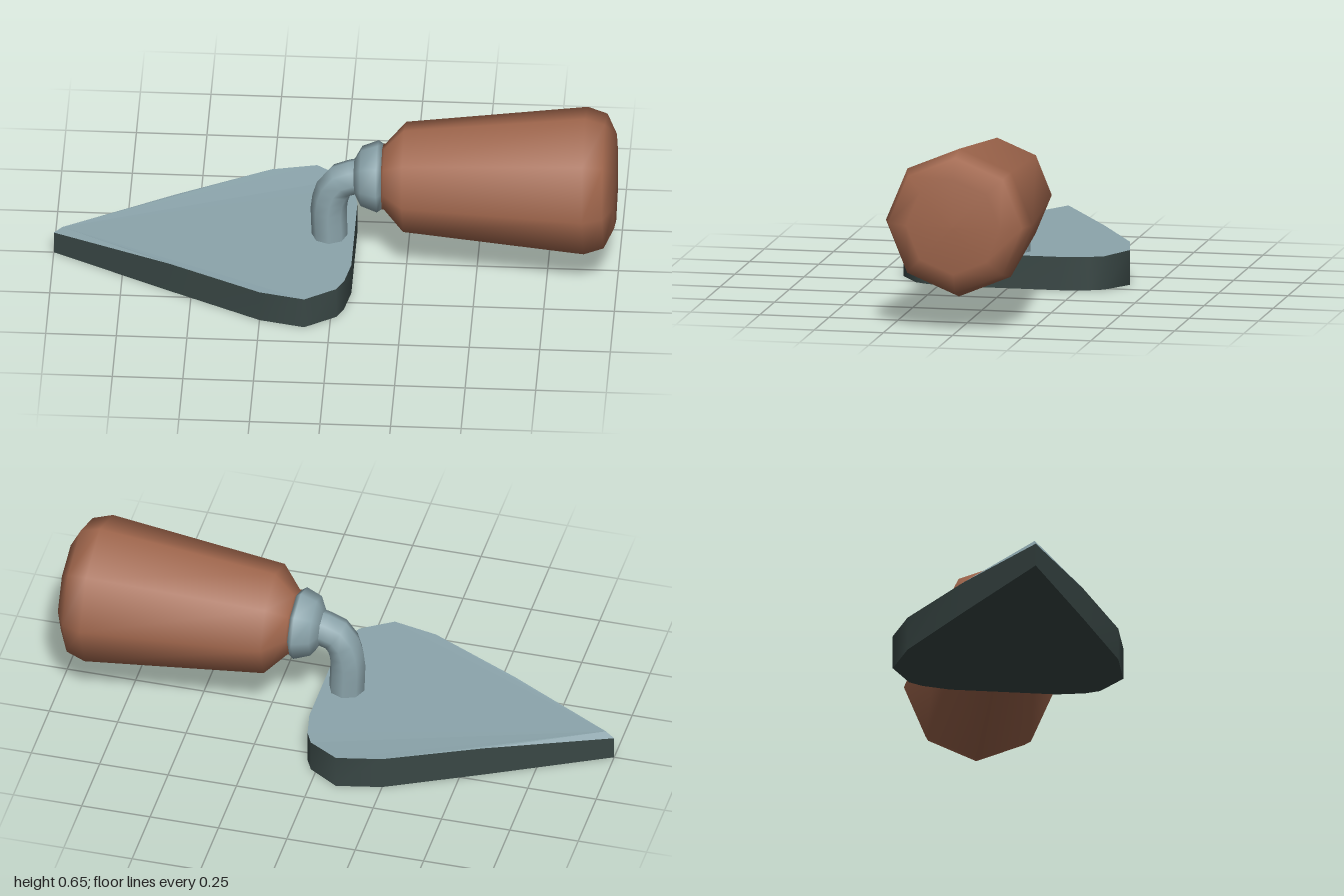
import * as THREE from 'three';

const material = (name, color, side = THREE.FrontSide) => {
  const m = new THREE.MeshStandardMaterial({ color, side });
  m.name = name;
  return m;
};

// Surface from corner points and triangle indices
function surface(points, faces, flat) {
  let g = new THREE.BufferGeometry();
  g.setAttribute('position', new THREE.Float32BufferAttribute(points.flat(), 3));
  g.setIndex(faces.flat());
  if (flat) g = g.toNonIndexed();
  g.computeVertexNormals();
  return g;
}

// Eight-sided turned part lying along +x, profile as [radius, x]
function turned(profile) {
  const g = new THREE.LatheGeometry(profile.map(([r, x]) => new THREE.Vector2(r, x)), 8);
  return g.rotateZ(-Math.PI / 2);
}

export function createModel() {
  const model = new THREE.Group();
  model.name = 'trowel';
  const steel = material('steel', 0x8ca5ac);
  const dark = material('darkEdge', 0x394745);
  const wood = material('wood', 0xa1674d);
  const add = (name, geometry, mat) => {
    const mesh = new THREE.Mesh(geometry, mat);
    mesh.name = name;
    model.add(mesh);
    return mesh;
  };

  // Blade outline [x, z, rim height]: tip, left side, heel, then mirrored back to the tip
  const half = [[-1, 0, 0.085], [-0.58, 0.213, 0.117], [-0.25, 0.375, 0.12], [-0.09, 0.41, 0.12],
    [0.02, 0.34, 0.12], [0.045, 0.29, 0.12], [0.065, 0.19, 0.12]];
  const rim = [...half, ...half.slice().reverse().map(([x, z, y]) =>
    [x, -z, x > -0.3 && x < 0 ? 0.125 : y])];
  const n = rim.length;
  const low = rim.map(([x, z]) => [x, 0, z]);
  const high = rim.map(([x, z, y]) => [x, y, z]);
  const walls = [], top = [], bottom = [];
  for (let i = 0; i < n - 1; i++) {
    walls.push([i, i + 1, n + i + 1], [i, n + i + 1, n + i]);
    top.push([n, i, i + 1]);
    bottom.push([0, i + 1, i]);
  }
  add('bladeEdge', surface([...low, ...high], walls, false), dark);
  add('bladeBottom', surface(low, bottom, true), dark);
  // The top fans from a point just behind the tip, leaving a small bevel
  add('bladeTop', surface([...high, [-0.97, 0.11, 0]], top, true), steel);

  // Bent shank
  const bend = new THREE.CatmullRomCurve3([[-0.022, 0.1], [-0.022, 0.27], [0.012, 0.348], [0.1, 0.378]]
    .map(([x, y]) => new THREE.Vector3(x, y, 0)));
  add('shank', new THREE.TubeGeometry(bend, 8, 0.064, 8), steel);

  // Ferrule and handle share a slightly rising axis
  const ferrule = add('ferrule', turned([[0, 0.06], [0.062, 0.065], [0.108, 0.09], [0.13, 0.148],
    [0.116, 0.168], [0, 0.17]]), steel);
  const handle = add('handle', turned([[0, 0.155], [0.118, 0.157], [0.118, 0.172], [0.198, 0.243],
    [0.265, 0.885], [0.242, 0.955], [0.17, 0.99], [0, 0.993]]), wood);
  for (const part of [ferrule, handle]) {
    part.position.y = 0.372;
    part.rotation.z = 0.015;
  }
  return model;
}
